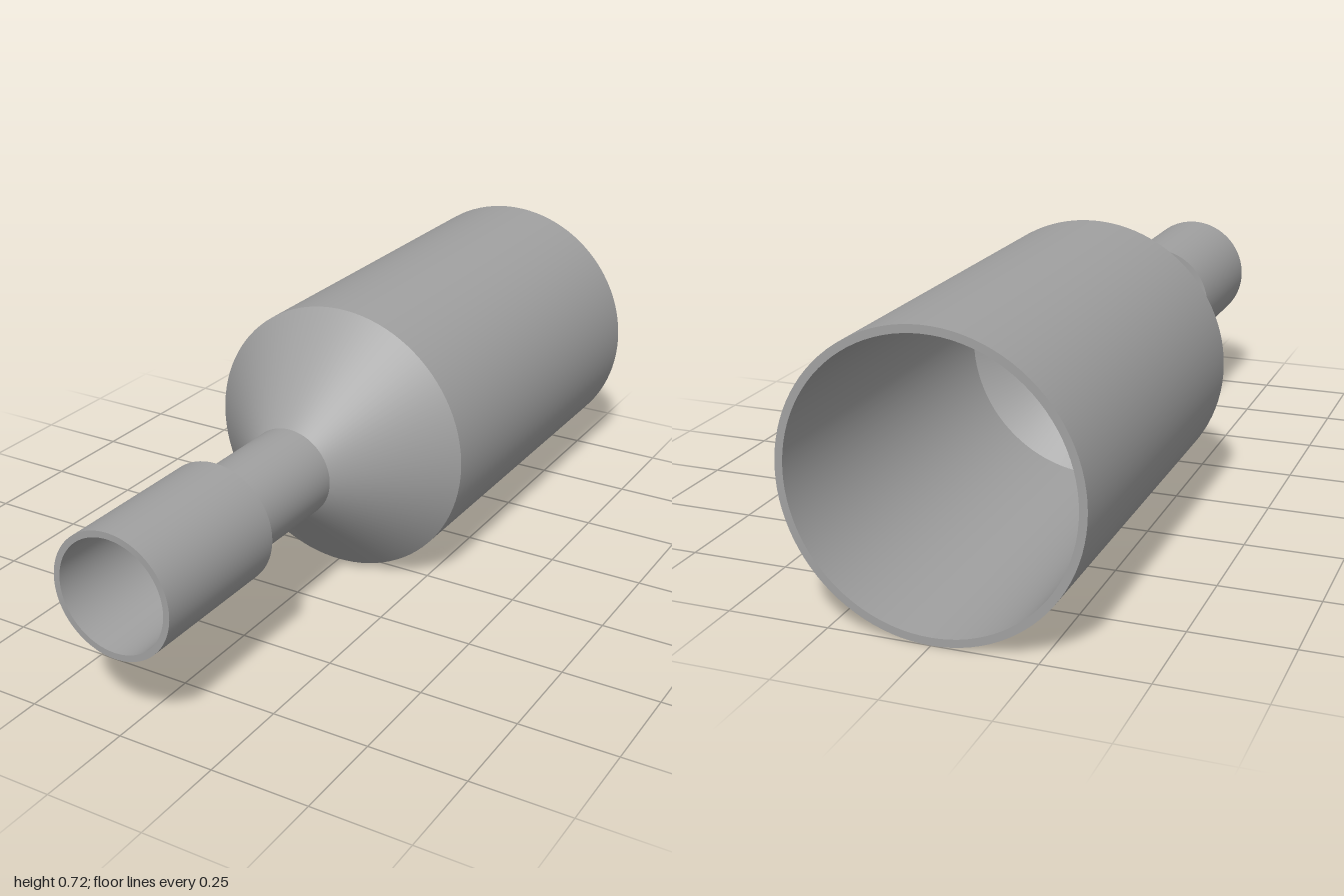
import * as THREE from 'three';

const SEGMENTS = 96;

// Quarter-round profile points [radius, z] about a centre, between two angles
function arc(cr, cz, rad, from, to, n = 10) {
  return Array.from({ length: n + 1 }, (_, i) => {
    const t = from + (to - from) * i / n;
    return [cr + rad * Math.cos(t), cz + rad * Math.sin(t)];
  });
}

export function createModel() {
  const grey = new THREE.MeshStandardMaterial({ color: 0xa0a0a0 });
  grey.name = 'grey';
  const group = new THREE.Group();
  group.name = 'reducerTube';

  const PI = Math.PI;
  // Closed wall section, split at its sharp edges: [name, [radius, z] points]
  const spans = [
    // Outside, back to front
    ['bodyOuter', [[0.36, -1], [0.36, 0.04]]],
    ['coneOuter', [[0.36, 0.04], [0.118, 0.28]]],
    ['neckOuter', [[0.118, 0.28], [0.118, 0.585]]],
    ['neckFillet', arc(0.133, 0.585, 0.015, PI, PI / 2)],
    ['socketShoulder', [[0.133, 0.6], [0.157, 0.6]]],
    ['socketOuter', [[0.157, 0.6], [0.157, 1]]],
    ['socketRim', [[0.157, 1], [0.141, 1]]],
    // Inside, front to back
    ['socketBore', [[0.141, 1], [0.131, 0.625]]],
    ['socketFloor', [[0.131, 0.625], [0.115, 0.625]]],
    ['boreRounding', arc(0.115, 0.6, 0.025, PI / 2, PI)],
    ['neckBore', [[0.09, 0.6], [0.09, 0.275]]],
    ['coneInner', [[0.09, 0.275], [0.341, 0.03]]],
    ['bodyBore', [[0.341, 0.03], [0.341, -1]]],
    ['bodyRim', [[0.341, -1], [0.36, -1]]],
  ];

  for (const [name, points] of spans) {
    const profile = points.map(([r, z]) => new THREE.Vector2(r, z));
    const geometry = new THREE.LatheGeometry(profile, SEGMENTS);
    geometry.rotateX(PI / 2); // lay the axis along z
    geometry.translate(0, 0.36, 0);
    const mesh = new THREE.Mesh(geometry, grey);
    mesh.name = name;
    group.add(mesh);
  }
  return group;
}
